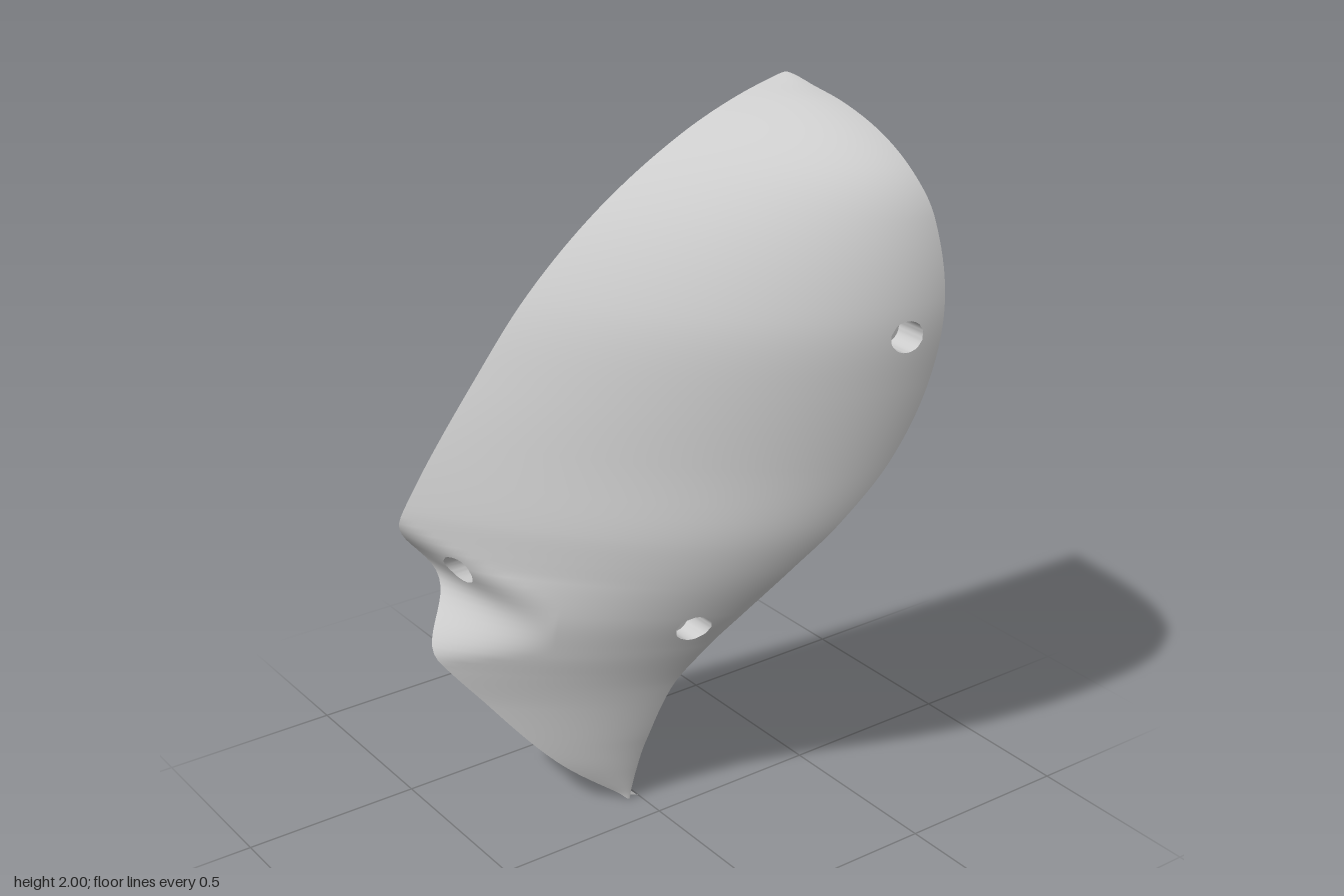
import * as THREE from 'three';
import { toCreasedNormals } from 'three/addons/utils/BufferGeometryUtils.js';

const V = (x, y, z) => new THREE.Vector3(x, y, z);
const { lerp, smoothstep, clamp } = THREE.MathUtils;
const THICK = 0.02, NT = 90, NY = 150;

// Edge profiles: heights and the matching x or z
const leftZ = profile([
  [0, 0.03], [0.02, 0.056], [0.06, 0.11], [0.15, 0.22], [0.335, 0.375], [0.45, 0.465], [0.52, 0.512],
  [0.62, 0.55], [0.72, 0.55], [0.83, 0.528], [0.9, 0.511], [1.05, 0.455], [1.26, 0.36], [1.485, 0.245],
  [1.69, 0.085], [1.88, -0.15], [1.96, -0.31], [1.99, -0.4], [2, -0.445]]);
const rightEdge = [ // y, x, z
  [0, -0.1, 0.03], [0.03, -0.096, 0.027], [0.1, -0.082, 0.019], [0.2, -0.055, 0.005], [0.39, 0.013, -0.033],
  [0.535, 0.098, -0.09], [0.65, 0.177, -0.145], [0.8, 0.278, -0.225], [0.93, 0.353, -0.31],
  [1.105, 0.42, -0.415], [1.315, 0.467, -0.488], [1.53, 0.484, -0.514], [1.74, 0.443, -0.503],
  [1.84, 0.38, -0.484], [1.915, 0.27, -0.473], [1.965, 0.13, -0.462], [1.986, 0.02, -0.454], [2, -0.07, -0.447]];
const rightX = profile(rightEdge.map(([y, x]) => [y, x]));
const rightZ = profile(rightEdge.map(([y, , z]) => [y, z]));
// Straight left edges meeting at a corner; round > 0 softens the corner
const leftX = (y, round) => -0.48 - 0.08 * (y - 0.77)
  + 0.4134 * Math.sqrt((y - 0.77) ** 2 + round * Math.max(y * (2 - y), 0));

// Smooth curve through points, spaced by angle so both tips come out round
function profile(points) {
  const ang = y => Math.acos(clamp(1 - y, -1, 1));
  const a = points.map(p => ang(p[0])), f = points.map(p => p[1]), n = a.length;
  const slope = i => {
    const l = Math.max(i - 1, 0), r = Math.min(i + 1, n - 1);
    return (f[r] - f[l]) / (a[r] - a[l]);
  };
  return y => {
    const v = ang(y);
    let i = 0;
    while (i < n - 2 && v > a[i + 1]) i++;
    const h = a[i + 1] - a[i], s = (v - a[i]) / h, s2 = s * s, s3 = s2 * s;
    return f[i] * (2 * s3 - 3 * s2 + 1) + slope(i) * h * (s3 - 2 * s2 + s)
      + f[i + 1] * (3 * s2 - 2 * s3) + slope(i + 1) * h * (s3 - s2);
  };
}

// Outer surface: a bowed section at each height, t runs from left edge to right edge
function surface(t, y) {
  const lx = leftX(y, 0), sx = leftX(y, 0.02), lz = leftZ(y), rx = rightX(y), rz = rightZ(y);
  const dx = rx - sx, dz = rz - lz;
  const bow = 0.12 + 0.09 * smoothstep(y, 0.2, 1) + 0.1 * smoothstep(y, 0.95, 1.5);
  const b1 = bow * 0.37, b2 = bow * 0.63, m2 = lerp(0.7, 0.77, smoothstep(y, 0.4, 1.2));
  const u = 1 - t, k0 = u ** 3, k1 = 3 * u * u * t, k2 = 3 * u * t * t, k3 = t ** 3;
  const x = k0 * lx + k1 * (sx + dx / 3 - dz * b1) + k2 * (sx + dx * m2 - dz * b2) + k3 * rx;
  const z = k0 * lz + k1 * (lz + dz / 3 + dx * b1) + k2 * (lz + dz * m2 + dx * b2) + k3 * rz;
  // Pinched groove tapering away from the side corner
  const q = t / 0.45;
  let dent = 0;
  if (q < 1) {
    const d = Math.abs(y - 0.67 + 0.06 * q) / (0.2 * (1 - 0.6 * q));
    if (d < 1) dent = 0.135 * (1 - q) ** 1.25 * (1 + Math.cos(Math.PI * d)) / 2;
  }
  return V(x, y, z - dent);
}

function normalAt(t, y) {
  const e = 0.003, yc = clamp(y, 0.006, 1.994), t0 = Math.max(t - e, 0), t1 = Math.min(t + e, 1);
  const dt = surface(t1, yc).sub(surface(t0, yc));
  const dy = surface(t, yc + e).sub(surface(t, yc - e));
  return dt.cross(dy).normalize();
}

// Inner side of the shell; the left edge is cut straight back
function innerPoint(t, y) {
  const n = normalAt(t, y), back = V(0, 0, 1 / Math.max(n.z, 0.6));
  return surface(t, y).addScaledVector(back.lerp(n, smoothstep(t, 0, 0.08)), -THICK);
}

// Finds t where the section at height y crosses a given x or z
function solveT(key, value, y) {
  let lo = 0, hi = 1;
  for (let i = 0; i < 26; i++) {
    const m = (lo + hi) / 2, p = surface(m, y)[key];
    if (key === 'x' ? p < value : p > value) lo = m; else hi = m;
  }
  return (lo + hi) / 2;
}

// Screw posts: bore axis, the cross coordinate and height of the centre, and the inner end
const posts = [
  { name: 'upperPost', axis: 'x', key: 'z', c: -0.413, y: 1.455, end: 0.255 },
  { name: 'lowerPost', axis: 'x', key: 'z', c: -0.032, y: 0.612, end: -0.112 },
  { name: 'sidePost', axis: 'z', key: 'x', c: -0.327, y: 0.738, end: 0.18 },
];
const BORE = 0.042, PIN = 0.022, POST = 0.065;

function buildGeometry(pos, index, nor) {
  const g = new THREE.BufferGeometry();
  g.setAttribute('position', new THREE.Float32BufferAttribute(pos, 3));
  if (nor) g.setAttribute('normal', new THREE.Float32BufferAttribute(nor, 3));
  g.setIndex(index);
  return g;
}

// One skin of the shell, with grid points inside a hole moved out to its rim
function skin(holeRadius, inner) {
  const pos = [], nor = [], index = [], hole = [];
  for (let j = 0; j <= NY; j++) for (let i = 0; i <= NT; i++) {
    let t = i / NT, y = 1 - Math.cos(Math.PI * j / NY), inside = false;
    const p = surface(t, y);
    for (const h of posts) {
      const d = p[h.key] - h.c, e = p.y - h.y, r = Math.hypot(d, e);
      if (r >= holeRadius) continue;
      inside = true;
      const m = holeRadius / Math.max(r, 1e-5);
      y = h.y + e * m;
      t = solveT(h.key, h.c + d * m, y);
    }
    const n = normalAt(t, y), q = inner ? innerPoint(t, y) : surface(t, y);
    if (inner) n.negate();
    pos.push(q.x, q.y, q.z);
    nor.push(n.x, n.y, n.z);
    hole.push(inside);
  }
  const tri = (a, b, c) => {
    if (hole[a] && hole[b] && hole[c]) return;
    if (inner) index.push(a, c, b); else index.push(a, b, c);
  };
  for (let j = 0; j < NY; j++) for (let i = 0; i < NT; i++) {
    const a = j * (NT + 1) + i, b = a + 1, c = b + NT + 1, d = a + NT + 1;
    tri(a, b, c);
    tri(a, c, d);
  }
  return buildGeometry(pos, index, nor);
}

// Edge strip joining the two skins along t = 0 or t = 1
function rim(t) {
  const pos = [], index = [];
  for (let j = 0; j <= NY; j++) {
    const y = 1 - Math.cos(Math.PI * j / NY);
    const o = surface(t, y), n = innerPoint(t, y);
    const [a, b] = t ? [o, n] : [n, o];
    pos.push(a.x, a.y, a.z, b.x, b.y, b.z);
    if (j < NY) { const k = j * 2; index.push(k, k + 1, k + 3, k, k + 3, k + 2); }
  }
  return toCreasedNormals(buildGeometry(pos, index), 0.7);
}

// Hollow post with stepped bore, trimmed to the shell and flared where it joins
function postGeometry(h) {
  const seg = 40, pos = [], index = [];
  const face = surface(solveT(h.key, h.c, h.y), h.y)[h.axis], ledge = face - 0.08;
  const rings = [ // radius, distance below the surface, or a fixed depth instead
    [BORE, 0], [BORE, 0, ledge], [PIN, 0, ledge], [PIN, 0, h.end], [POST, 0, h.end],
    [POST, 0.08], [0.068, 0.056], [0.075, 0.038], [0.086, 0.025], [0.1, 0.018]];
  for (const [r, drop, depth] of rings) for (let s = 0; s <= seg; s++) {
    const a = s / seg * Math.PI * 2, cu = Math.cos(a) * r, cw = Math.sin(a) * r;
    const y = h.y + (h.axis === 'x' ? cu : cw), c = h.c + (h.axis === 'x' ? cw : cu);
    const t = solveT(h.key, c, y), p = surface(t, y);
    if (r > 0.08) p.addScaledVector(normalAt(t, y), -drop);
    else { p[h.key] = c; p[h.axis] = depth ?? p[h.axis] - drop; }
    pos.push(p.x, p.y, p.z);
  }
  for (let k = 0; k < rings.length - 1; k++) for (let s = 0; s < seg; s++) {
    const a = k * (seg + 1) + s, b = a + 1, c = b + seg + 1, d = a + seg + 1;
    index.push(a, b, c, a, c, d);
  }
  return toCreasedNormals(buildGeometry(pos, index), 0.8);
}

export function createModel() {
  const group = new THREE.Group();
  const material = new THREE.MeshStandardMaterial({ color: 0xcccccc });
  const add = (name, geometry) => {
    const mesh = new THREE.Mesh(geometry, material);
    mesh.name = name;
    group.add(mesh);
  };
  add('outerSkin', skin(BORE, false));
  add('innerSkin', skin(0.055, true));
  add('frontRim', rim(0));
  add('backRim', rim(1));
  for (const h of posts) add(h.name, postGeometry(h));
  return group;
}
